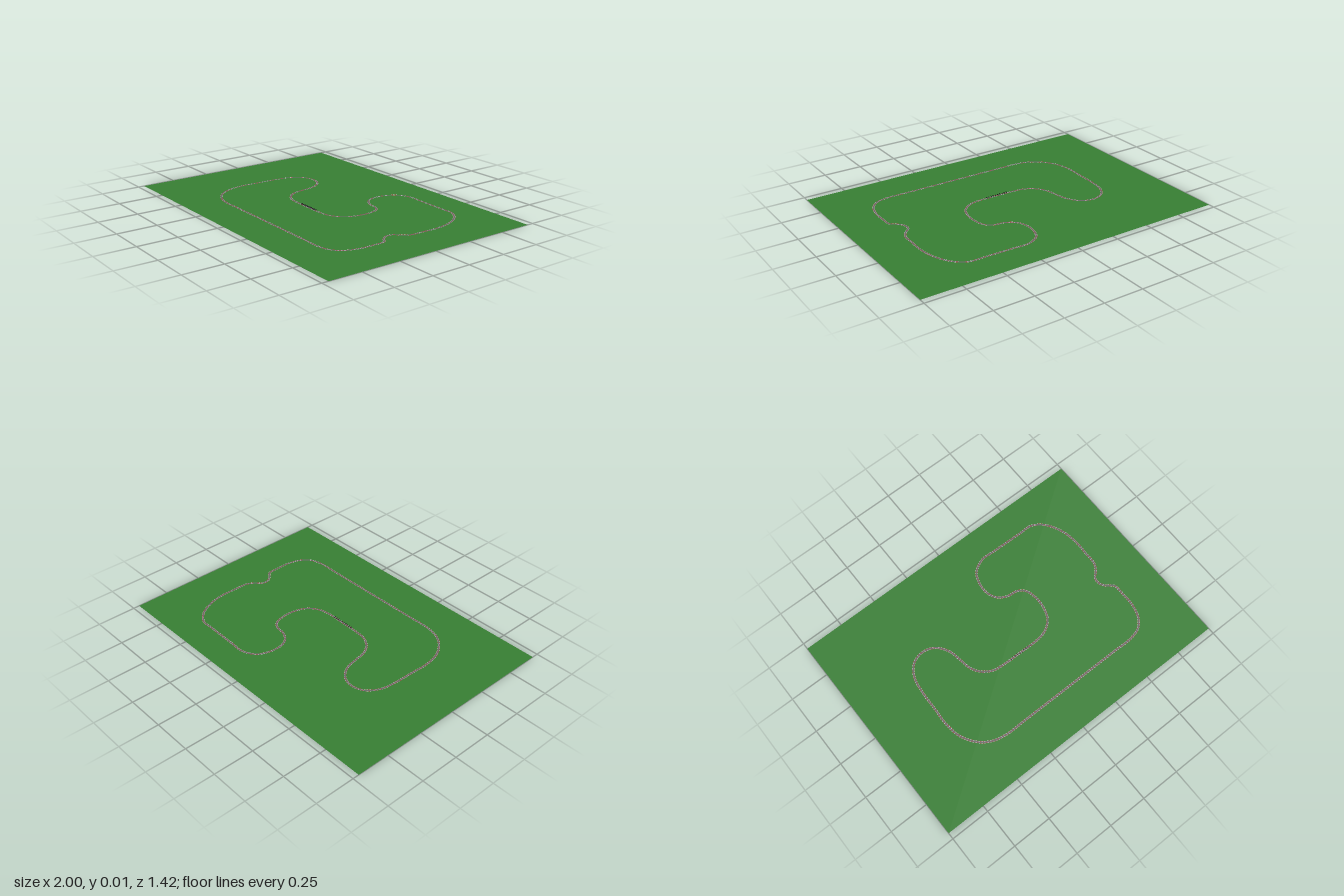
import * as THREE from 'three';

const GROUND_W = 2, GROUND_D = 1.42, ROAD_W = 0.014, KERB_W = 0.0025;

// Centre line of the circuit as [x, z]
const LINE = [
  [-0.13, 0.112], [0, 0.115], [0.13, 0.115], [0.2, 0.1], [0.265, 0.05], [0.295, -0.03], [0.298, -0.11],
  [0.278, -0.18], [0.235, -0.213], [0.165, -0.224], [0.105, -0.265], [0.08, -0.33], [0.087, -0.41],
  [0.12, -0.475], [0.2, -0.517], [0.3, -0.516], [0.5, -0.512], [0.585, -0.51], [0.66, -0.458],
  [0.715, -0.36], [0.737, -0.25], [0.735, -0.14], [0.732, -0.06], [0.705, -0.012], [0.672, 0.02], [0.668, 0.065],
  [0.695, 0.105], [0.732, 0.135], [0.737, 0.2], [0.735, 0.3], [0.71, 0.385], [0.66, 0.44], [0.58, 0.463],
  [0.45, 0.463], [-0.25, 0.463], [-0.38, 0.463], [-0.47, 0.443], [-0.545, 0.393], [-0.605, 0.3],
  [-0.625, 0.19], [-0.621, 0.08], [-0.617, -0.05], [-0.6, -0.155], [-0.545, -0.232], [-0.465, -0.256],
  [-0.39, -0.232], [-0.335, -0.16], [-0.315, -0.07], [-0.302, 0], [-0.265, 0.06], [-0.2, 0.102],
];

// Flat strip along the curve between two sideways offsets; keep(i) picks segments
function strip(curve, inner, outer, y, segments, keep = () => true) {
  const pos = [], index = [];
  for (let i = 0; i <= segments; i++) {
    const p = curve.getPointAt((i / segments) % 1);
    const t = curve.getTangentAt((i / segments) % 1);
    for (const o of [inner, outer]) pos.push(p.x - t.z * o, y, p.z + t.x * o);
    if (i < segments && keep(i)) {
      const a = i * 2;
      index.push(a, a + 2, a + 1, a + 1, a + 2, a + 3);
    }
  }
  const g = new THREE.BufferGeometry();
  g.setAttribute('position', new THREE.Float32BufferAttribute(pos, 3));
  g.setIndex(index);
  g.computeVertexNormals();
  // Flat strips always point straight up
  const n = g.attributes.normal;
  for (let i = 0; i < n.count; i++) n.setXYZ(i, 0, 1, 0);
  return g;
}

function paint(color) {
  return new THREE.MeshStandardMaterial({ color, side: THREE.DoubleSide });
}

function add(parent, name, geometry, material) {
  const mesh = new THREE.Mesh(geometry, material);
  mesh.name = name;
  parent.add(mesh);
  return mesh;
}

export function createModel() {
  const model = new THREE.Group();
  model.name = 'raceCircuit';

  // Grass field
  const grass = new THREE.PlaneGeometry(GROUND_W, GROUND_D).rotateX(-Math.PI / 2);
  add(model, 'grass', grass, paint(0x388034));

  // Road
  const curve = new THREE.CatmullRomCurve3(
    LINE.map(([x, z]) => new THREE.Vector3(x, 0, z)), true, 'centripetal');
  curve.arcLengthDivisions = 1500;
  const half = ROAD_W / 2;
  add(model, 'road', strip(curve, -half, half, 0.0006, 600), paint(0x6c6a6a));

  // Red and white kerbs on both edges
  const kerbs = new THREE.Group();
  kerbs.name = 'kerbs';
  model.add(kerbs);
  const colors = [paint(0xb04040), paint(0xd8d8d8)];
  for (const edge of [-half, half - KERB_W]) {
    colors.forEach((material, k) => add(kerbs, k ? 'whiteKerb' : 'redKerb',
      strip(curve, edge, edge + KERB_W, 0.0009, 600, (i) => i % 2 === k), material));
  }

  // Row of thin upright boards across the starting straight
  const boards = new THREE.Group();
  boards.name = 'startingBoards';
  model.add(boards);
  const board = new THREE.PlaneGeometry(0.015, 0.006).rotateY(Math.PI / 2);
  const dark = paint(0x222222);
  for (let i = 0; i < 10; i++) {
    add(boards, 'startingBoard', board, dark).position.set(-0.072 + i * 0.016, 0.006, 0.115);
  }
  return model;
}
